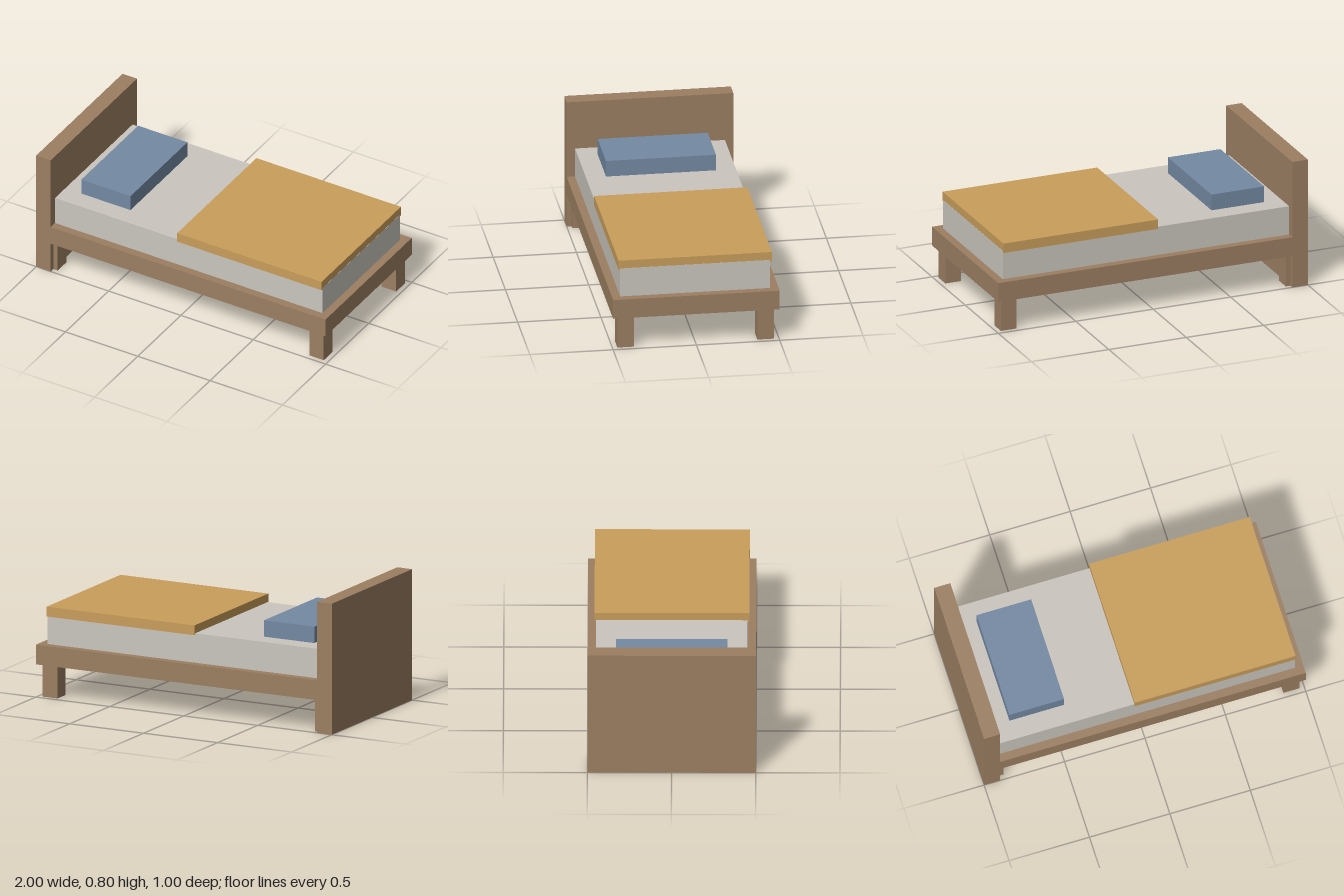
import * as THREE from 'three';

function material(name, color) {
  const m = new THREE.MeshStandardMaterial({ color });
  m.name = name;
  return m;
}

export function createModel() {
  const bed = new THREE.Group();
  bed.name = 'bed';

  const wood = material('wood', 0x9c7f62);
  const linen = material('linen', 0xcac6be);
  const blue = material('blue fabric', 0x7489a3);
  const ochre = material('ochre fabric', 0xc99e5b);

  // Box given by its extents along each axis
  const addBox = (name, mat, [x0, x1], [y0, y1], [z0, z1]) => {
    const mesh = new THREE.Mesh(new THREE.BoxGeometry(x1 - x0, y1 - y0, z1 - z0), mat);
    mesh.position.set((x0 + x1) / 2, (y0 + y1) / 2, (z0 + z1) / 2);
    mesh.name = name;
    bed.add(mesh);
  };

  // Wooden structure
  addBox('headboard', wood, [-1, -0.9], [0, 0.8], [-0.5, 0.5]);
  addBox('frame', wood, [-0.9, 1], [0.2, 0.32], [-0.5, 0.5]);

  // Four legs, the head pair partly set into the headboard
  for (const [end, x] of [['head', -0.92], ['foot', 0.92]]) {
    for (const [side, z] of [['Front', 0.42], ['Back', -0.42]]) {
      addBox(`${end}${side}Leg`, wood, [x - 0.05, x + 0.05], [0, 0.2], [z - 0.05, z + 0.05]);
    }
  }

  // Bedding; the blanket stops a hair short of the mattress end
  addBox('mattress', linen, [-0.9, 0.95], [0.32, 0.5], [-0.45, 0.45]);
  addBox('pillow', blue, [-0.79, -0.45], [0.5, 0.6], [-0.33, 0.33]);
  addBox('blanket', ochre, [-0.05, 0.949], [0.49, 0.55], [-0.46, 0.46]);

  return bed;
}
